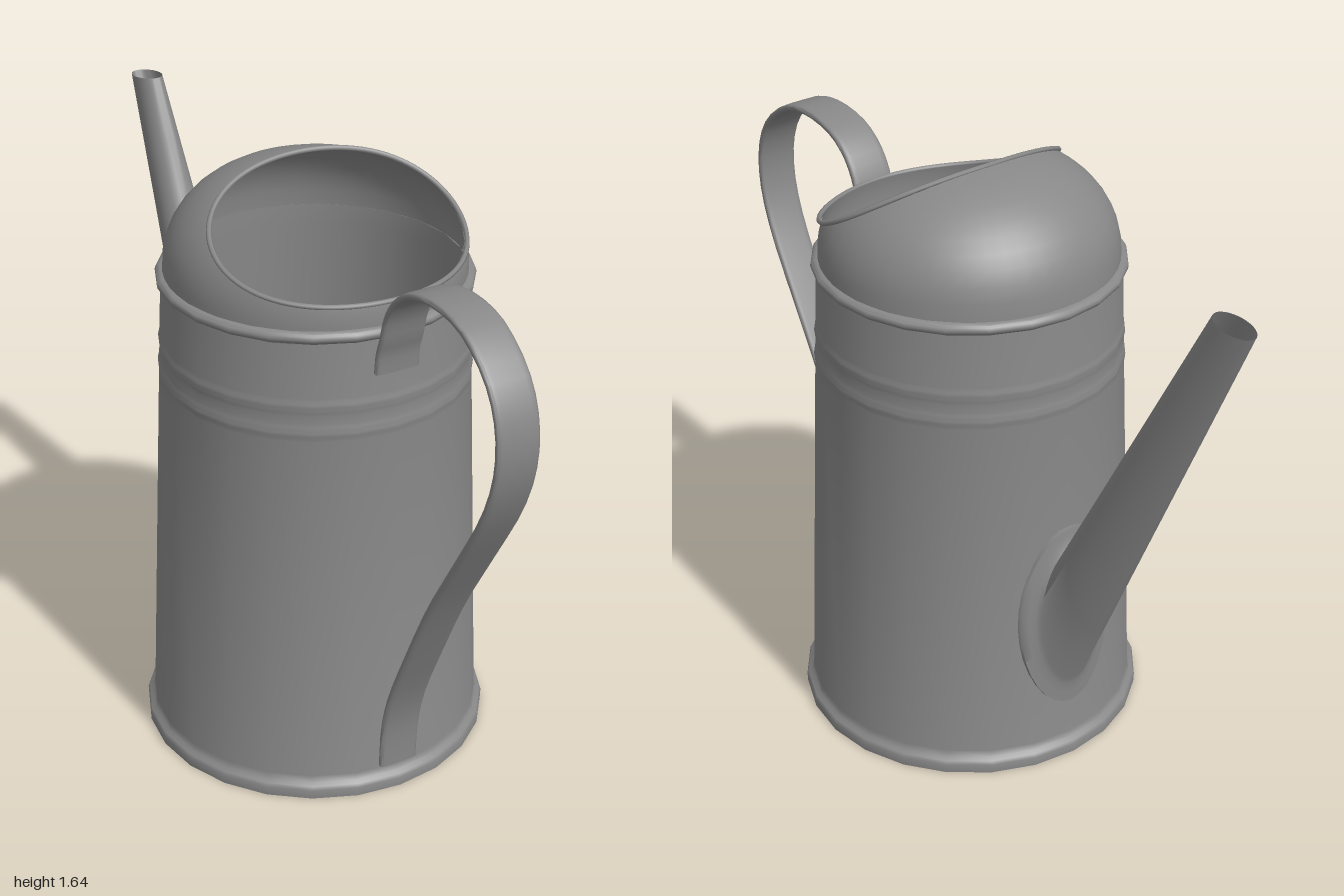
import * as THREE from 'three';
import { toCreasedNormals } from 'three/addons/utils/BufferGeometryUtils.js';

const material = new THREE.MeshStandardMaterial({ color: 0x888888, side: THREE.DoubleSide });
const AXIS_Z = 0.05; // centre line of the can
const wallRadius = (y) => 0.455 - 0.0427 * (y - 0.04);

function part(name, geometry) {
  const mesh = new THREE.Mesh(geometry, material);
  mesh.name = name;
  return mesh;
}

// Surface through rows of closed rings: point(row, angle) returns a Vector3
function loft(rows, sides, point) {
  const positions = [], index = [];
  for (let r = 0; r <= rows; r++) {
    for (let s = 0; s < sides; s++) {
      positions.push(...point(r, (s / sides) * Math.PI * 2).toArray());
      if (r === rows) continue;
      const a = r * sides + s, b = r * sides + ((s + 1) % sides);
      index.push(a, b, b + sides, a, b + sides, a + sides);
    }
  }
  const geometry = new THREE.BufferGeometry();
  geometry.setAttribute('position', new THREE.Float32BufferAttribute(positions, 3));
  geometry.setIndex(index);
  geometry.computeVertexNormals();
  return geometry;
}

// Profile of [radius, y] turned about the can's centre line
function turned(profile) {
  const geometry = new THREE.LatheGeometry(profile.map(([r, y]) => new THREE.Vector2(r, y)), 24);
  geometry.translate(0, 0, AXIS_Z);
  return toCreasedNormals(geometry, 0.95);
}

// Tapered wall with rolled base, two shallow pressed beads and a rolled shoulder ring
function buildBody() {
  const profile = [[0, 0], [0.474, 0], [0.475, 0.026], [0.47, 0.036], [0.459, 0.041], [wallRadius(0.06), 0.06]];
  for (const y of [1.08, 1.15]) {
    for (let i = -3; i <= 3; i++) {
      const h = y + i * 0.008;
      profile.push([wallRadius(h) + 0.0035 * Math.cos((i / 3) * Math.PI / 2) ** 2, h]);
    }
  }
  profile.push([wallRadius(1.318), 1.318]);
  for (let i = 0; i <= 6; i++) {
    const a = -Math.PI / 2 + (i / 6) * Math.PI;
    profile.push([0.4 + 0.014 * Math.cos(a), 1.337 + 0.015 * Math.sin(a)]);
  }
  profile.push([0.393, 1.354]);
  return turned(profile);
}

// Smooth inner wall and floor
function buildLining() {
  return turned([[0, 0.02], [wallRadius(0.02) - 0.01, 0.02], [wallRadius(1.3) - 0.01, 1.3], [0.391, 1.354]]);
}

// Dome profile, from its base (t = 0) to its pole (t = 1)
function domePoint(t, angle) {
  const a = (t * Math.PI) / 2, e = 2 / 2.25;
  const r = 0.394 * Math.max(Math.cos(a), 0) ** e;
  return new THREE.Vector3(r * Math.sin(angle), 1.35 + 0.283 * Math.sin(a) ** e, AXIS_Z + r * Math.cos(angle));
}

// Where the sweeping mouth cut crosses the dome at a given angle
function mouthLimit(angle) {
  let low = 0, high = 1;
  for (let i = 0; i < 30; i++) {
    const mid = (low + high) / 2, p = domePoint(mid, angle);
    const cut = 1.415 + 0.22 * ((0.45 - p.z) / 0.49) ** 2;
    if (p.y < cut) low = mid; else high = mid;
  }
  return low;
}

// Thin rolled edge around the mouth
function buildLip() {
  const points = [];
  for (let i = 0; i < 48; i++) {
    const angle = (i / 48) * Math.PI * 2;
    const p = domePoint(mouthLimit(angle), angle);
    p.x += 0.007 * Math.sin(angle);
    p.z += 0.007 * Math.cos(angle);
    points.push(p);
  }
  return new THREE.TubeGeometry(new THREE.CatmullRomCurve3(points, true), 96, 0.007, 6, true);
}

// Point on a spout ring spanned by its upper and lower [z, y] ends
function ringPoint(top, bottom, halfWidth, angle) {
  const c = Math.cos(angle);
  return new THREE.Vector3(
    halfWidth * Math.sin(angle),
    (top[1] + bottom[1]) / 2 + (c * (top[1] - bottom[1])) / 2,
    (top[0] + bottom[0]) / 2 + (c * (top[0] - bottom[0])) / 2);
}

// Oval ring on the can wall; k runs from the flange edge (0) to the spout foot (1)
function flangePoint(k, offset, angle) {
  const p = ringPoint([0, 0.72 - 0.05 * k], [0, 0.17 + 0.08 * k], 0.15 - 0.05 * k, angle);
  p.z = AXIS_Z - Math.sqrt(wallRadius(p.y) ** 2 - p.x ** 2) - offset;
  return p;
}

// Oval flange with a crisp edge, running into the open tapered spout
function buildSpout() {
  const flange = [[0, -0.012], [0, 0.009], [0.4, 0.011], [0.75, 0.014], [1, 0.02]];
  const last = flange.length - 1, rows = last + 6;
  const geometry = loft(rows, 32, (row, angle) => {
    if (row <= last) return flangePoint(...flange[row], angle);
    const tip = ringPoint([-0.873, 1.565], [-1.0, 1.55], 0.038, angle);
    return flangePoint(...flange[last], angle).lerp(tip, (row - last) / (rows - last));
  });
  return toCreasedNormals(geometry, 1.2);
}

// Flat strap with rounded edges, slightly narrower at its lower end
function buildHandle() {
  const path = [
    [0.461, 1.235], [0.467, 1.29], [0.482, 1.335], [0.5, 1.4], [0.54, 1.46], [0.61, 1.505], [0.72, 1.522],
    [0.83, 1.502], [0.93, 1.428], [0.98, 1.33], [0.984, 1.21], [0.938, 1.07], [0.83, 0.88],
    [0.72, 0.69], [0.62, 0.48], [0.55, 0.32], [0.518, 0.2], [0.51, 0.075],
  ];
  const curve = new THREE.SplineCurve(path.map(([z, y]) => new THREE.Vector2(z, y)));
  const steps = 44;
  const rounded = (v) => Math.sign(v) * Math.abs(v) ** 0.4;
  const geometry = loft(steps + 2, 16, (row, angle) => {
    const t = THREE.MathUtils.clamp((row - 1) / steps, 0, 1);
    const size = row === 0 || row === steps + 2 ? 0 : 1; // end rings close the strap
    const p = curve.getPoint(t), d = curve.getTangent(t);
    const n = 0.0095 * size * rounded(Math.sin(angle));
    const x = (0.062 - 0.007 * t) * size * rounded(Math.cos(angle));
    return new THREE.Vector3(x - 0.003, p.y + d.x * n, p.x - d.y * n);
  });
  return toCreasedNormals(geometry, 1.0);
}

export function createModel() {
  const group = new THREE.Group();
  group.name = 'wateringCan';
  group.add(
    part('body', buildBody()),
    part('lining', buildLining()),
    part('hood', loft(10, 48, (row, angle) => domePoint((row / 10) * mouthLimit(angle), angle))),
    part('mouthLip', buildLip()),
    part('spout', buildSpout()),
    part('handle', buildHandle()),
  );
  return group;
}
